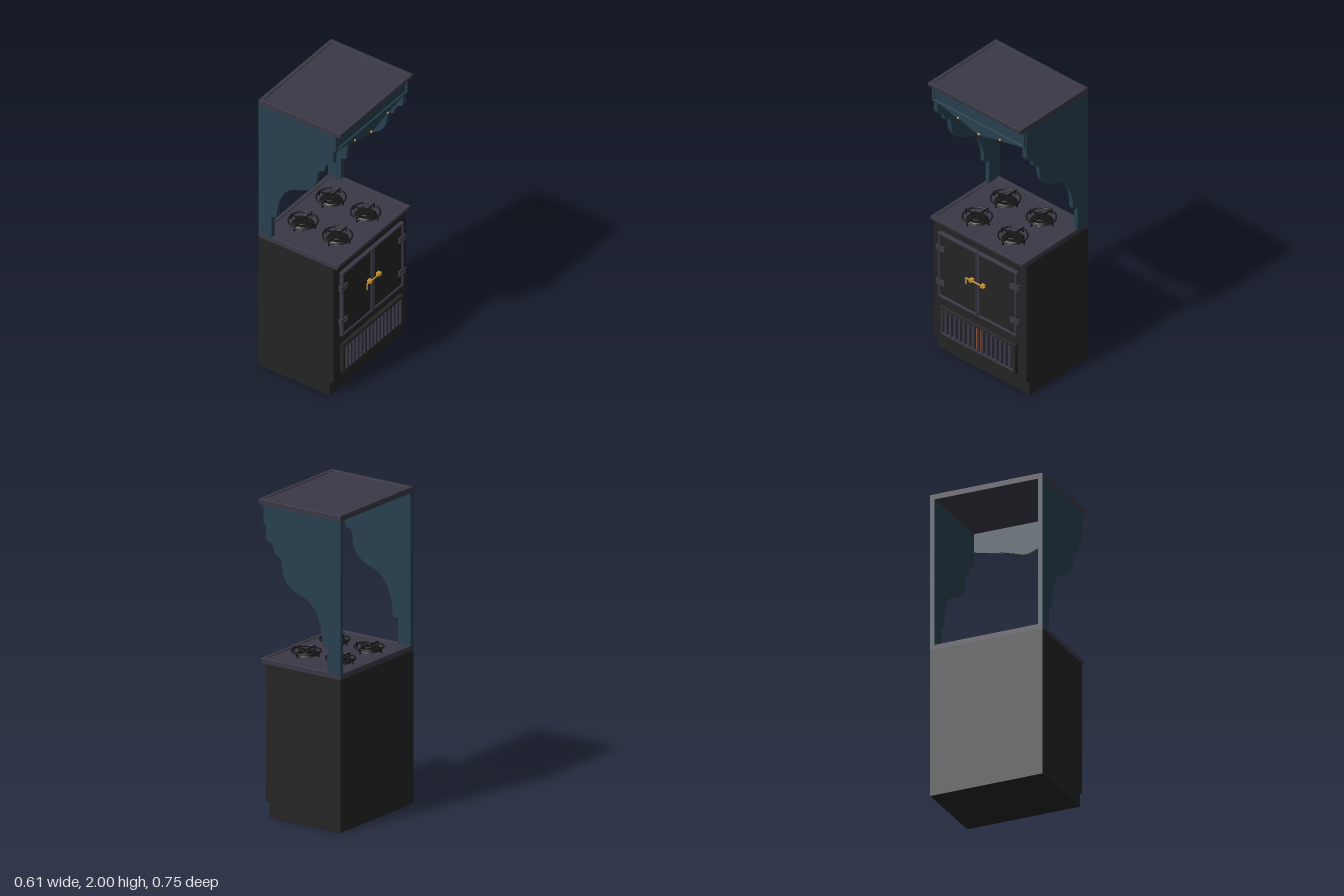
import * as THREE from 'three';
import { toCreasedNormals } from 'three/addons/utils/BufferGeometryUtils.js';

const mat = (color) => new THREE.MeshStandardMaterial({ color });

export function createModel() {
  const root = new THREE.Group();
  const iron = mat(0x242424), slate = mat(0x3a3845), blue = mat(0x27404e);
  const black = mat(0x161616), gold = mat(0xc8922e), ember = mat(0xd05a10);

  const add = (name, geo, material, x = 0, y = 0, z = 0, parent = root) => {
    const m = new THREE.Mesh(geo, material);
    m.name = name;
    m.position.set(x, y, z);
    parent.add(m);
    return m;
  };
  // Box given by its limits
  const box = (name, material, x0, x1, y0, y1, z0, z1) =>
    add(name, new THREE.BoxGeometry(x1 - x0, y1 - y0, z1 - z0), material,
      (x0 + x1) / 2, (y0 + y1) / 2, (z0 + z1) / 2);
  const rect = (T, w, h) => {
    const s = new T();
    s.moveTo(-w / 2, -h / 2).lineTo(w / 2, -h / 2).lineTo(w / 2, h / 2).lineTo(-w / 2, h / 2).closePath();
    return s;
  };
  // Bevelled rectangular frame, outer size w x h, lying in xy and rising along +z from 0 to depth
  const frame = (w, h, border, depth, bevel) => {
    const s = rect(THREE.Shape, w - 2 * bevel, h - 2 * bevel);
    s.holes.push(rect(THREE.Path, w - 2 * border + 2 * bevel, h - 2 * border + 2 * bevel));
    const g = new THREE.ExtrudeGeometry(s, {
      depth: depth - 2 * bevel, bevelSize: bevel, bevelThickness: bevel, bevelSegments: 2,
    });
    return g.translate(0, 0, bevel);
  };
  // Turns geometry drawn in xy to face +x
  const faceFront = (g) => g.rotateY(Math.PI / 2);
  const smooth = (g) => toCreasedNormals(g, 0.6);

  // Cabinet and plinth
  box('cabinet', iron, -0.305, 0.25, 0.1, 0.965, -0.375, 0.375);
  box('plinth', iron, -0.305, 0.22, 0, 0.1, -0.375, 0.375);

  // Slab with a moulded front lip and a raised rim around its top
  const slab = (name, top, front) => {
    const s = new THREE.Shape();
    s.moveTo(-0.305, top - 0.036).lineTo(front - 0.022, top - 0.036);
    s.quadraticCurveTo(front - 0.004, top - 0.034, front - 0.002, top - 0.017);
    s.lineTo(front - 0.002, top - 0.006).lineTo(-0.305, top - 0.006).closePath();
    const g = new THREE.ExtrudeGeometry(s, { depth: 0.75, bevelEnabled: false, curveSegments: 8 });
    add(name, smooth(g.translate(0, 0, -0.375)), slate);
    const rim = frame(front + 0.305, 0.75, 0.026, 0.014, 0.005).rotateX(-Math.PI / 2);
    add(name + 'Rim', smooth(rim), slate, (front - 0.305) / 2, top - 0.014, 0);
  };
  slab('worktop', 1, 0.285);
  slab('hoodTop', 2, 0.305);

  // Scrolled side panels
  const side = new THREE.Shape();
  side.moveTo(-0.305, 0.99).lineTo(-0.21, 0.99).lineTo(-0.21, 1.16).lineTo(-0.185, 1.16);
  side.quadraticCurveTo(-0.168, 1.165, -0.168, 1.2);
  side.bezierCurveTo(-0.165, 1.31, -0.11, 1.42, -0.02, 1.44);
  side.bezierCurveTo(0.08, 1.475, 0.12, 1.51, 0.13, 1.61);
  side.quadraticCurveTo(0.132, 1.655, 0.15, 1.66);
  side.quadraticCurveTo(0.18, 1.655, 0.186, 1.69);
  side.quadraticCurveTo(0.195, 1.735, 0.225, 1.74);
  side.quadraticCurveTo(0.25, 1.745, 0.25, 1.78);
  side.lineTo(0.25, 1.966).lineTo(-0.305, 1.966).closePath();
  for (const z of [-0.375, 0.345]) {
    const g = new THREE.ExtrudeGeometry(side, { depth: 0.03, bevelEnabled: false, curveSegments: 12 });
    add('sidePanel', smooth(g), blue, 0, 0, z);
  }

  // Hood fascia with a raised border
  box('fascia', blue, 0.245, 0.258, 1.845, 1.966, -0.374, 0.374);
  add('fasciaBorder', faceFront(frame(0.748, 0.12, 0.016, 0.014, 0.004)), blue, 0.255, 1.905, 0);

  // Pointed valance with a gilt edge
  const valance = new THREE.Shape();
  valance.moveTo(-0.345, 1.85).lineTo(-0.345, 1.842).lineTo(-0.19, 1.808).lineTo(-0.16, 1.806)
    .lineTo(0, 1.76).lineTo(0.16, 1.806).lineTo(0.19, 1.808).lineTo(0.345, 1.842).lineTo(0.345, 1.85).closePath();
  add('valance', faceFront(new THREE.ExtrudeGeometry(valance, { depth: 0.014, bevelEnabled: false })), blue, 0.245);
  for (const s of [-1, 1]) {
    const edge = new THREE.CatmullRomCurve3([[0.33, 1.844], [0.19, 1.811], [0.16, 1.809], [0.01, 1.765]]
      .map(([z, y]) => new THREE.Vector3(0.254, y, s * z)));
    add('giltEdge', new THREE.TubeGeometry(edge, 24, 0.004, 6), gold);
    add('giltBead', new THREE.SphereGeometry(0.008, 10, 8), gold, 0.26, 1.812, s * 0.17);
  }
  add('giltBead', new THREE.SphereGeometry(0.009, 10, 8), gold, 0.26, 1.774, 0);

  // Pair of oven doors with raised borders and strap hinges
  for (const s of [-1, 1]) {
    box('doorPanel', iron, 0.25, 0.268, 0.432, 0.9, s * 0.16 - 0.154, s * 0.16 + 0.154);
    add('doorBorder', smooth(faceFront(frame(0.316, 0.475, 0.015, 0.029, 0.005))), slate, 0.249, 0.667, s * 0.16);
    for (const y of [0.54, 0.79]) {
      for (const dy of [-0.011, 0.011]) {
        box('hingeStrap', slate, 0.255, 0.28, y + dy - 0.007, y + dy + 0.007, s * 0.3 - 0.033, s * 0.3 + 0.033);
      }
      add('hingePin', new THREE.CylinderGeometry(0.009, 0.009, 0.042, 12), slate, 0.274, y, s * 0.318);
    }
  }

  // Brass latch
  const latch = new THREE.Group();
  latch.name = 'latch';
  latch.position.set(0.286, 0.683, 0);
  root.add(latch);
  add('latchBar', new THREE.CylinderGeometry(0.005, 0.005, 0.14, 10).rotateX(Math.PI / 2), gold, 0, 0, 0.008, latch);
  for (const z of [-0.05, 0.042]) {
    add('latchKeeper', new THREE.BoxGeometry(0.028, 0.02, 0.024), gold, -0.005, 0, z, latch);
  }
  add('latchTip', new THREE.SphereGeometry(0.008, 10, 8), gold, 0, 0, -0.065, latch);
  add('latchHandle', new THREE.CylinderGeometry(0.005, 0.006, 0.042, 10), gold, 0.003, -0.017, 0.08, latch);

  // Firebox grille: glowing back, upright slats, raised border
  box('ember', ember, 0.25, 0.254, 0.165, 0.35, -0.295, 0.295);
  add('grilleBorder', smooth(faceFront(frame(0.62, 0.215, 0.018, 0.03, 0.006))), iron, 0.249, 0.255, 0);
  add('grilleTrim', smooth(faceFront(frame(0.594, 0.19, 0.01, 0.026, 0.003))), slate, 0.25, 0.255, 0);
  for (let i = 0; i <= 16; i++) {
    const z = -0.296 + i * 0.037;
    box('grilleSlat', slate, 0.252, 0.275, 0.165, 0.347, z - 0.0085, z + 0.0085);
  }

  // Four burners with pan supports
  for (const x of [-0.14, 0.115]) {
    for (const z of [-0.145, 0.145]) {
      const burner = new THREE.Group();
      burner.name = 'burner';
      burner.position.set(x, 0.994, z);
      root.add(burner);
      add('burnerBase', new THREE.CylinderGeometry(0.055, 0.07, 0.012, 28), black, 0, 0.006, 0, burner);
      add('burnerCap', new THREE.CylinderGeometry(0.026, 0.03, 0.014, 24), black, 0, 0.018, 0, burner);
      add('supportRing', new THREE.TorusGeometry(0.09, 0.005, 8, 36).rotateX(Math.PI / 2), black, 0, 0.024, 0, burner);
      add('innerRing', new THREE.TorusGeometry(0.045, 0.004, 8, 28).rotateX(Math.PI / 2), black, 0, 0.026, 0, burner);
      for (let k = 0; k < 4; k++) {
        const arm = new THREE.Group();
        arm.name = 'supportArm';
        arm.rotation.y = k * Math.PI / 2;
        burner.add(arm);
        add('armBar', new THREE.BoxGeometry(0.075, 0.009, 0.008), black, 0.057, 0.03, 0, arm);
        add('armFoot', new THREE.BoxGeometry(0.008, 0.028, 0.008), black, 0.09, 0.014, 0, arm);
      }
    }
  }
  return root;
}
